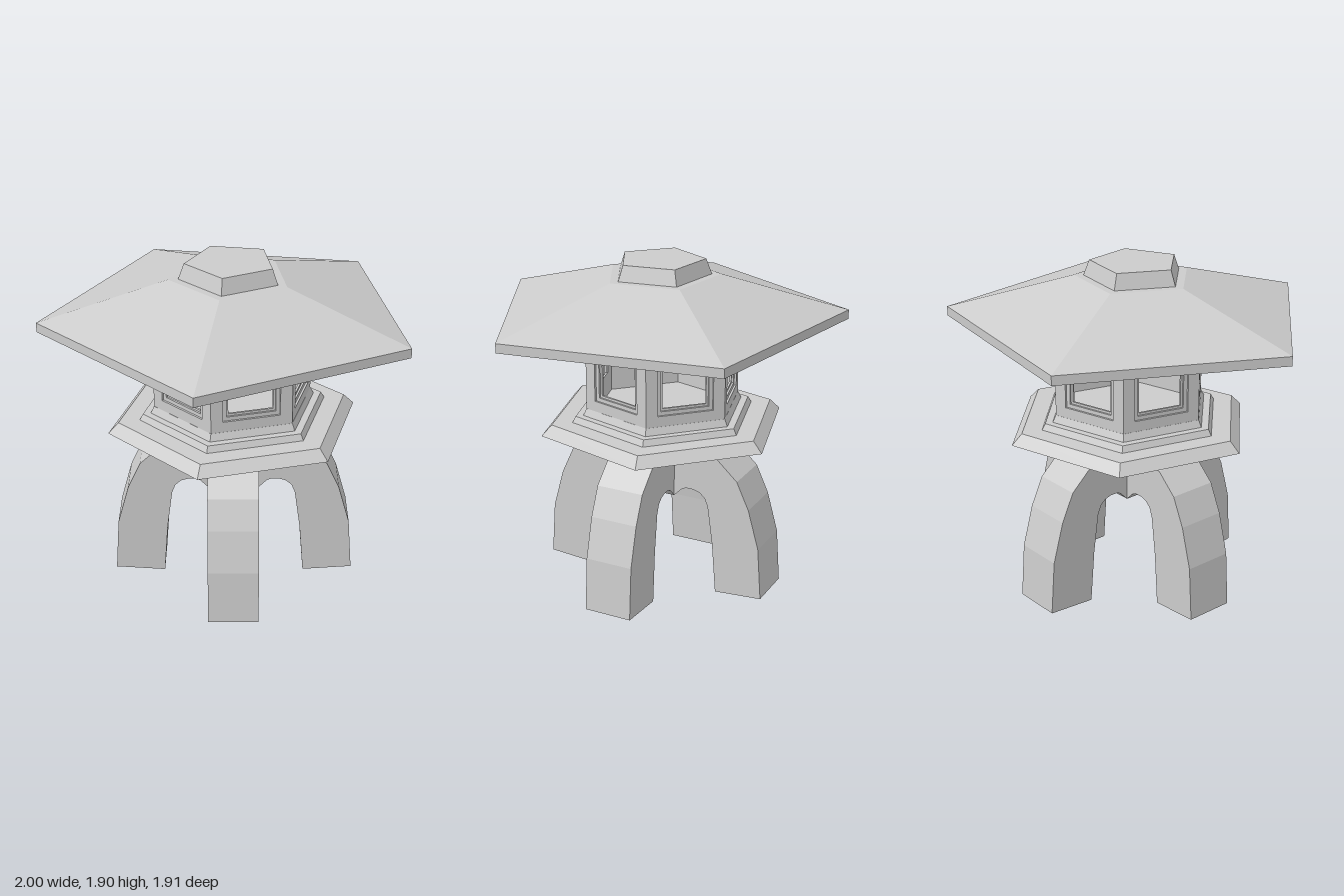
import * as THREE from 'three';

const mat = new THREE.MeshStandardMaterial({ color: 0xcccccc, flatShading: true });

function add(parent, name, geometry) {
  const mesh = new THREE.Mesh(geometry, mat);
  mesh.name = name;
  parent.add(mesh);
  return mesh;
}

// Faceted solid: profile of [radius, y] from bottom to top, revolved with few sides
function faceted(profile, sides, phiStart) {
  const points = profile.map(([r, y]) => new THREE.Vector2(r, y));
  return new THREE.LatheGeometry(points, sides, phiStart, Math.PI * 2);
}

function rect(path, w, y0, y1) {
  path.moveTo(-w / 2, y0);
  path.lineTo(w / 2, y0);
  path.lineTo(w / 2, y1);
  path.lineTo(-w / 2, y1);
  path.closePath();
  return path;
}

// Upright slab with a rectangular hole; each size is [width, bottom, top]
function frame(outer, inner, depth) {
  const shape = rect(new THREE.Shape(), ...outer);
  shape.holes.push(rect(new THREE.Path(), ...inner));
  return new THREE.ExtrudeGeometry(shape, { depth, bevelEnabled: false });
}

export function createModel() {
  const model = new THREE.Group();
  model.name = 'stoneLantern';

  // Lower part: arched legs and hexagonal light chamber share one axis
  const lower = new THREE.Group();
  lower.name = 'lowerLantern';
  lower.position.set(-0.012, 0, 0.07);
  model.add(lower);

  // Two crossing arches make four legs with a boss under the middle
  const outside = [[0.69, 0.02], [0.668, 0.33], [0.604, 0.56], [0.53, 0.72], [0.41, 0.83], [0.14, 0.865]];
  const inside = [[0.14, 0.56], [0.165, 0.585], [0.19, 0.61], [0.215, 0.62], [0.26, 0.62],
    [0.3, 0.608], [0.332, 0.58], [0.352, 0.53], [0.383, 0.3], [0.406, 0]];
  const half = [...inside, ...outside];
  const mirrored = [...half].reverse().map(([x, y]) => [-x, y]);
  const arch = new THREE.Shape([...half, ...mirrored].map(([x, y]) => new THREE.Vector2(x, y)));
  const archGeometry = new THREE.ExtrudeGeometry(arch, { depth: 0.28, bevelEnabled: false });
  archGeometry.translate(0, 0, -0.14);
  for (const side of [1, -1]) {
    add(lower, 'legArch', archGeometry).rotation.y = side * Math.PI / 4;
  }

  // Hexagonal platform with a sloped underside, and a stepped plinth
  const hex = Math.PI / 2;
  add(lower, 'platform', faceted([[0, 0.855], [0.25, 0.855], [0.72, 0.94], [0.66, 1], [0, 1]], 6, hex));
  add(lower, 'plinth', faceted([[0.54, 1], [0.52, 1.035], [0, 1.035]], 6, hex));
  add(lower, 'chamberFoot', faceted([[0.475, 1.035], [0.456, 1.075], [0.42, 1.075]], 6, hex));

  // Light chamber: six walls, each with a stepped window frame
  const apothem = 0.455 * Math.cos(Math.PI / 6);
  const opening = [0.32, 1.135, 1.47];
  const step = [0.275, 1.157, 1.448];
  const wall = frame([0.455, 1.035, 1.545], opening, 0.035);
  const outerFrame = frame(opening, step, 0.023);
  const innerFrame = frame(step, [0.25, 1.17, 1.436], 0.012);
  for (let i = 0; i < 6; i++) {
    const panel = new THREE.Group();
    panel.name = 'chamberSide';
    panel.rotation.y = i * Math.PI / 3;
    lower.add(panel);
    add(panel, 'wall', wall).position.z = apothem - 0.035;
    add(panel, 'windowFrame', outerFrame).position.z = apothem - 0.035;
    add(panel, 'windowInnerFrame', innerFrame).position.z = apothem - 0.035;
  }

  // Five-sided roof and cap, turned very slightly
  const roof = new THREE.Group();
  roof.name = 'roofTop';
  roof.position.set(-0.004, 0, 0.094);
  model.add(roof);
  const penta = Math.PI - 0.009;
  add(roof, 'roof', faceted(
    [[0, 1.535], [0.6, 1.535], [1.052, 1.555], [1.052, 1.608], [0.338, 1.813], [0, 1.813]], 5, penta));
  add(roof, 'cap', faceted([[0.284, 1.813], [0.252, 1.9], [0, 1.9]], 5, penta));

  return model;
}
